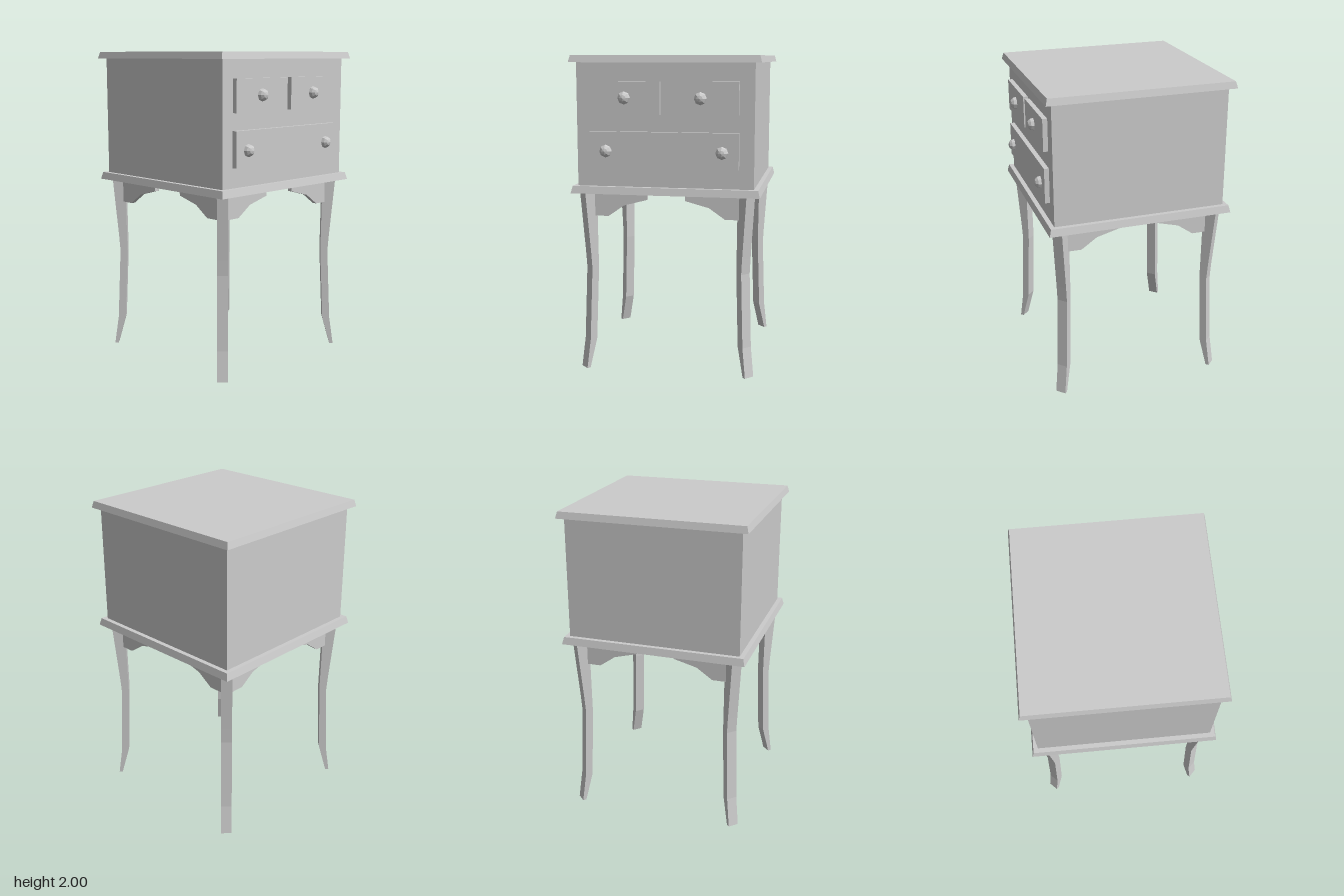
import * as THREE from 'three';

const material = new THREE.MeshStandardMaterial({ color: 0xcccccc, flatShading: true });

function add(parent, name, geometry, x = 0, y = 0, z = 0) {
  const mesh = new THREE.Mesh(geometry, material);
  mesh.name = name;
  mesh.position.set(x, y, z);
  parent.add(mesh);
  return mesh;
}

// Extrude an outline symmetrically about its own plane
function plate(points, depth) {
  const shape = new THREE.Shape(points.map(([x, y]) => new THREE.Vector2(x, y)));
  return new THREE.ExtrudeGeometry(shape, { depth, bevelEnabled: false }).translate(0, 0, -depth / 2);
}

// Square slab whose edges slope slightly outward towards the bottom
function slab(half, height, inset) {
  const g = new THREE.BoxGeometry(half * 2, height, half * 2);
  const p = g.attributes.position;
  for (let i = 0; i < p.count; i++) {
    if (p.getY(i) > 0) {
      p.setX(i, Math.sign(p.getX(i)) * (half - inset));
      p.setZ(i, Math.sign(p.getZ(i)) * (half - inset));
    }
  }
  g.computeVertexNormals();
  return g;
}

export function createModel() {
  const model = new THREE.Group();
  model.name = 'bedsideCabinet';
  const cabinet = new THREE.Group();
  cabinet.name = 'cabinet';
  cabinet.position.x = -0.018;
  model.add(cabinet);

  // Carcass with its top and base mouldings
  add(cabinet, 'body', new THREE.BoxGeometry(1.1, 0.78, 1.1), 0, 1.58, 0);
  add(cabinet, 'top', slab(0.59, 0.042, 0.011), 0, 1.979, 0);
  add(cabinet, 'baseMoulding', slab(0.59, 0.046, 0.011), 0, 1.175, 0);

  // Drawer fronts on the +x side: [z centre, y centre, width, height, knob z positions]
  const drawers = [
    [0.243, 1.745, 0.44, 0.2, [0.245]],
    [-0.237, 1.745, 0.44, 0.2, [-0.225]],
    [0.003, 1.43, 0.925, 0.22, [0.363, -0.357]],
  ];
  for (const [z, y, width, height, knobs] of drawers) {
    add(cabinet, 'drawerFront', new THREE.BoxGeometry(0.04, height, width), 0.56, y, z);
    for (const kz of knobs) {
      const knob = new THREE.SphereGeometry(0.04, 8, 6).rotateZ(-Math.PI / 2);
      add(cabinet, 'knob', knob, 0.579, y > 1.6 ? 1.745 : 1.42, kz);
    }
  }

  // Curved leg profile in the diagonal plane: distance from centre, height
  const legProfile = [
    [0.735, 0], [0.758, 0], [0.73, 0.19], [0.708, 0.66], [0.715, 0.76],
    [0.75, 1.155], [0.665, 1.155], [0.66, 0.66], [0.682, 0.19],
  ];
  const legGeometry = plate(legProfile, 0.068);
  const bracketGeometry = plate([
    [0.12, 1.155], [0.12, 1.11], [0.27, 1.07], [0.37, 1.0], [0.48, 1.0], [0.48, 1.155],
  ], 0.03);

  // One leg and two brackets at each corner
  for (let i = 0; i < 4; i++) {
    const corner = new THREE.Group();
    corner.name = 'corner';
    corner.rotation.y = i * Math.PI / 2;
    add(corner, 'leg', legGeometry).rotation.y = -Math.PI / 4;
    add(corner, 'bracket', bracketGeometry, 0, 0, 0.49);
    add(corner, 'bracket', bracketGeometry, 0.49, 0, 0).rotation.y = -Math.PI / 2;
    cabinet.add(corner);
  }
  return model;
}
